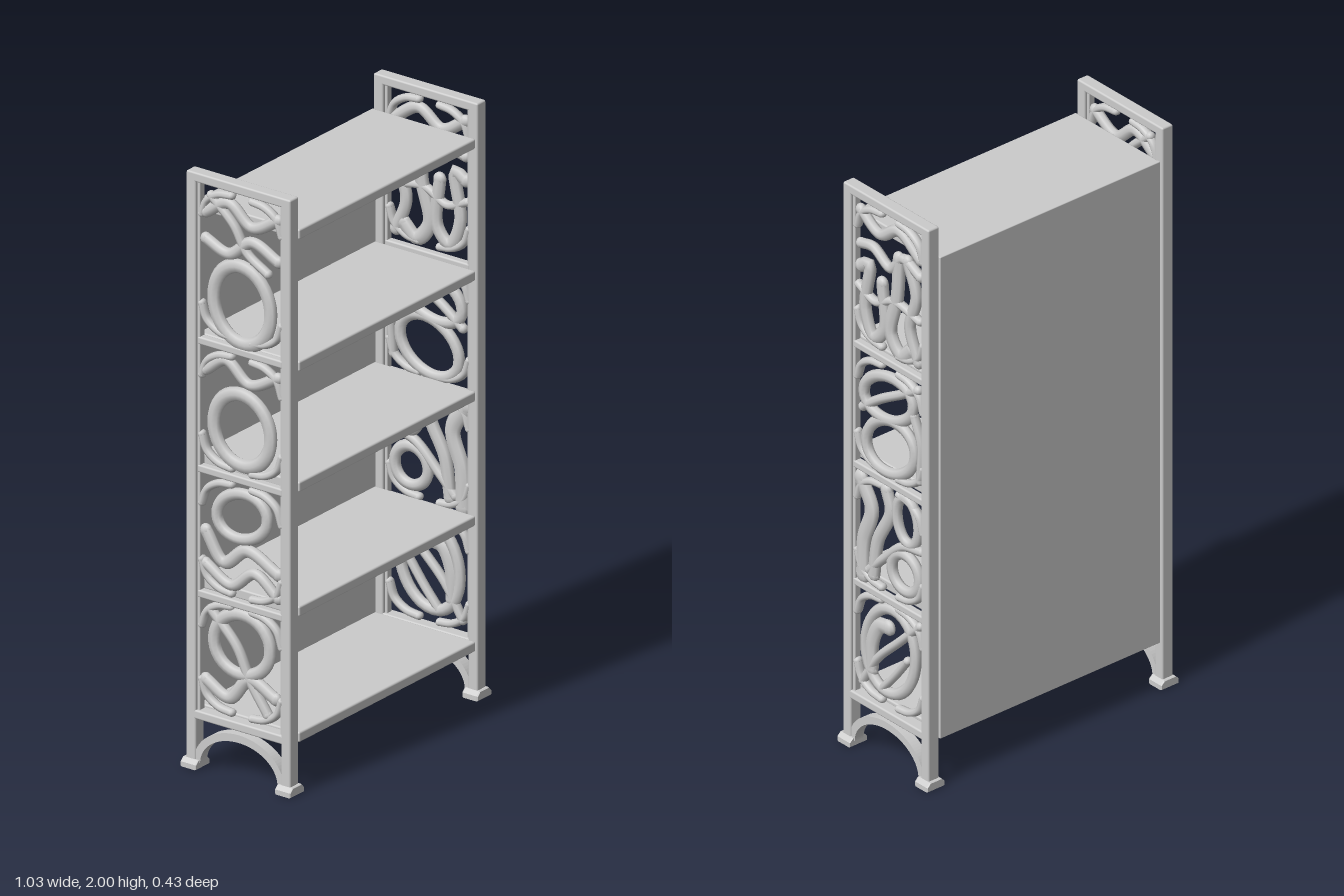
import * as THREE from 'three';
import { RoundedBoxGeometry } from 'three/addons/geometries/RoundedBoxGeometry.js';

const material = new THREE.MeshStandardMaterial({ color: 0xcccccc });
const SIDE_X = 0.478;

function add(parent, name, geometry, x = 0, y = 0, z = 0) {
  const mesh = new THREE.Mesh(geometry, material);
  mesh.name = name;
  mesh.position.set(x, y, z);
  parent.add(mesh);
  return mesh;
}

// Box given by its extents, with slightly softened edges
function bar(parent, name, [x0, x1], [y0, y1], [z0, z1], r = 0.005) {
  return add(parent, name, new RoundedBoxGeometry(x1 - x0, y1 - y0, z1 - z0, 2, r),
    (x0 + x1) / 2, (y0 + y1) / 2, (z0 + z1) / 2);
}

// Flattened tube through [z, y] points
function stroke(parent, points, r = 0.02, closed = false) {
  const curve = new THREE.CatmullRomCurve3(points.map(([z, y]) => new THREE.Vector3(0, y, z)), closed);
  const geometry = new THREE.TubeGeometry(curve, 36, r, 8, closed);
  geometry.scale(0.016 / r, 1, 1);
  add(parent, 'scroll', geometry);
  if (closed) return;
  for (const [z, y] of [points[0], points[points.length - 1]]) {
    const end = new THREE.SphereGeometry(r, 10, 8);
    end.scale(0.016 / r, 1, 1);
    add(parent, 'scrollEnd', end, 0, y, z);
  }
}

// Tilted oval ring
function oval(parent, z, y, rz, ry, tilt = 0, r = 0.018) {
  const points = [];
  for (let i = 0; i < 12; i++) {
    const a = (i / 12) * Math.PI * 2;
    const p = rz * Math.cos(a), q = ry * Math.sin(a);
    points.push([z + p * Math.cos(tilt) - q * Math.sin(tilt), y + p * Math.sin(tilt) + q * Math.cos(tilt)]);
  }
  stroke(parent, points, r, true);
}

// Little curls filling the four corners of a cell
function corners(parent, y0, y1) {
  for (const s of [-1, 1]) {
    for (const [y, d] of [[y0, 1], [y1, -1]]) {
      stroke(parent, [[s * 0.155, y + d * 0.1], [s * 0.135, y + d * 0.05], [s * 0.09, y + d * 0.02], [s * 0.04, y + d * 0.012]], 0.013);
    }
  }
}

function leftScrollwork() {
  const g = new THREE.Group();
  g.name = 'leftScrollwork';
  for (const [y0, y1] of [[0.2, 0.58], [0.6, 0.99], [1.02, 1.42], [1.46, 1.96]]) corners(g, y0, y1);
  // bottom cell: tilted ring crossed by a diagonal leaf
  oval(g, 0, 0.4, 0.115, 0.155, 0.25, 0.02);
  stroke(g, [[0.13, 0.24], [0.06, 0.35], [-0.04, 0.45], [-0.14, 0.55]], 0.015);
  stroke(g, [[0.09, 0.3], [0.085, 0.4], [0.05, 0.47], [0.01, 0.48]], 0.027);
  stroke(g, [[0.04, 0.25], [-0.02, 0.32], [-0.08, 0.4]], 0.014);
  // second cell: heavy left sweep with two open loops
  stroke(g, [[0.13, 0.62], [0.125, 0.75], [0.09, 0.87], [0.14, 0.96]], 0.03);
  stroke(g, [[0.08, 0.64], [0.06, 0.77], [0.0, 0.9], [0.02, 0.97]], 0.024);
  oval(g, -0.08, 0.9, 0.05, 0.08, -0.15);
  oval(g, -0.07, 0.71, 0.065, 0.065, -0.3, 0.02);
  stroke(g, [[-0.15, 0.82], [-0.06, 0.8], [0.03, 0.72], [0.1, 0.65]], 0.016);
  // third cell: interleaved wide ovals
  oval(g, 0, 1.13, 0.12, 0.09, -0.45, 0.02);
  oval(g, 0.01, 1.3, 0.12, 0.075, -0.3, 0.02);
  stroke(g, [[0.13, 1.22], [0.05, 1.28], [-0.05, 1.34], [-0.13, 1.39]], 0.016);
  stroke(g, [[-0.14, 1.07], [-0.145, 1.2], [-0.11, 1.29]], 0.015);
  // top cell: long upright sweeps below flowing waves
  stroke(g, [[0.14, 1.72], [0.1, 1.74], [0.12, 1.58], [0.08, 1.49], [0.03, 1.54], [0.04, 1.7]], 0.023);
  stroke(g, [[-0.04, 1.82], [-0.03, 1.68], [0.0, 1.54], [-0.05, 1.48], [-0.1, 1.52]], 0.026);
  stroke(g, [[-0.08, 1.83], [-0.12, 1.72], [-0.09, 1.6], [-0.13, 1.49]], 0.022);
  stroke(g, [[0.15, 1.65], [0.07, 1.62], [-0.02, 1.66], [-0.14, 1.64]], 0.014);
  stroke(g, [[0.14, 1.8], [0.08, 1.81], [0.0, 1.77], [-0.06, 1.83], [-0.14, 1.8]], 0.018);
  stroke(g, [[0.14, 1.92], [0.05, 1.87], [-0.04, 1.92], [-0.14, 1.86]], 0.02);
  return g;
}

function rightScrollwork() {
  const g = new THREE.Group();
  g.name = 'rightScrollwork';
  for (const [y0, y1] of [[0.2, 0.58], [0.6, 0.99], [1.02, 1.42], [1.46, 1.96]]) corners(g, y0, y1);
  // bottom cell: ring with crossing sweeps
  oval(g, 0, 0.45, 0.11, 0.1, 0.3, 0.022);
  stroke(g, [[-0.14, 0.3], [-0.05, 0.26], [0.03, 0.34], [0.13, 0.3]], 0.022);
  stroke(g, [[-0.12, 0.54], [-0.02, 0.44], [0.03, 0.34], [0.1, 0.24]], 0.017);
  // second cell: stacked waves around a loop
  oval(g, 0.0, 0.88, 0.1, 0.075, 0.3, 0.02);
  stroke(g, [[-0.14, 0.8], [-0.07, 0.71], [0.02, 0.77], [0.14, 0.72]], 0.022);
  stroke(g, [[-0.14, 0.69], [-0.04, 0.64], [0.05, 0.7], [0.14, 0.64]], 0.019);
  // third cell: large open ring
  oval(g, 0, 1.17, 0.11, 0.12, 0.15, 0.024);
  stroke(g, [[-0.14, 1.34], [-0.06, 1.39], [0.03, 1.33], [0.14, 1.38]], 0.019);
  // top cell: large open ring below waves
  oval(g, 0, 1.59, 0.11, 0.13, 0.15, 0.024);
  stroke(g, [[-0.14, 1.78], [-0.05, 1.75], [0.04, 1.81], [0.14, 1.77]], 0.02);
  stroke(g, [[-0.14, 1.87], [-0.05, 1.92], [0.04, 1.86], [0.14, 1.91]], 0.02);
  stroke(g, [[-0.12, 1.93], [-0.03, 1.85], [0.02, 1.77], [0.1, 1.72]], 0.015);
  return g;
}

// Posts, rails, arch and feet of one end, centred on x = 0
function endFrame(name) {
  const g = new THREE.Group();
  g.name = name;
  const w = [-0.022, 0.022];
  for (const s of [-1, 1]) {
    bar(g, 'post', w, [0.02, 2], s < 0 ? [-0.202, -0.165] : [0.165, 0.202], 0.006);
    bar(g, 'innerTrim', [-0.012, 0.012], [0.19, 1.97], s < 0 ? [-0.168, -0.155] : [0.155, 0.168], 0.003);
    // chamfered foot
    const foot = new THREE.Shape();
    foot.moveTo(-0.034, 0).lineTo(0.034, 0).lineTo(0.034, 0.014).lineTo(0.022, 0.026).lineTo(-0.022, 0.026).lineTo(-0.034, 0.014);
    const geometry = new THREE.ExtrudeGeometry(foot, { depth: 0.052, bevelEnabled: true, bevelSize: 0.002, bevelThickness: 0.004, bevelSegments: 1 });
    geometry.translate(0, 0, -0.026);
    add(g, 'foot', geometry, 0, 0.002, s * 0.183);
  }
  bar(g, 'topRail', w, [1.968, 2], [-0.2, 0.2], 0.006);
  bar(g, 'bottomRail', w, [0.165, 0.195], [-0.18, 0.18], 0.006);
  for (const y of [0.585, 1.005, 1.435]) bar(g, 'crossRail', [-0.014, 0.014], [y - 0.013, y + 0.013], [-0.165, 0.165], 0.006);
  // arch between the legs
  const arch = new THREE.Shape();
  arch.absellipse(0, 0.02, 0.175, 0.132, 0, Math.PI, false);
  arch.absellipse(0, 0.02, 0.15, 0.106, Math.PI, 0, true);
  const geometry = new THREE.ExtrudeGeometry(arch, { depth: 0.036, bevelEnabled: false, curveSegments: 24 });
  geometry.translate(0, 0, -0.018);
  geometry.rotateY(Math.PI / 2);
  add(g, 'arch', geometry);
  return g;
}

export function createModel() {
  const model = new THREE.Group();

  // Shelves and back panel
  for (const y of [0.18, 0.602, 1.02, 1.425, 1.868]) {
    bar(model, 'shelf', [-0.45, 0.45], [y - 0.017, y + 0.017], [-0.2, 0.2], 0.006);
  }
  bar(model, 'backPanel', [-0.45, 0.45], [0.163, 1.885], [-0.2, -0.187], 0.003);

  // Openwork ends
  const left = endFrame('leftEnd');
  left.position.x = SIDE_X;
  left.add(leftScrollwork());
  const right = endFrame('rightEnd');
  right.position.x = -SIDE_X;
  right.add(rightScrollwork());
  model.add(left, right);
  return model;
}
